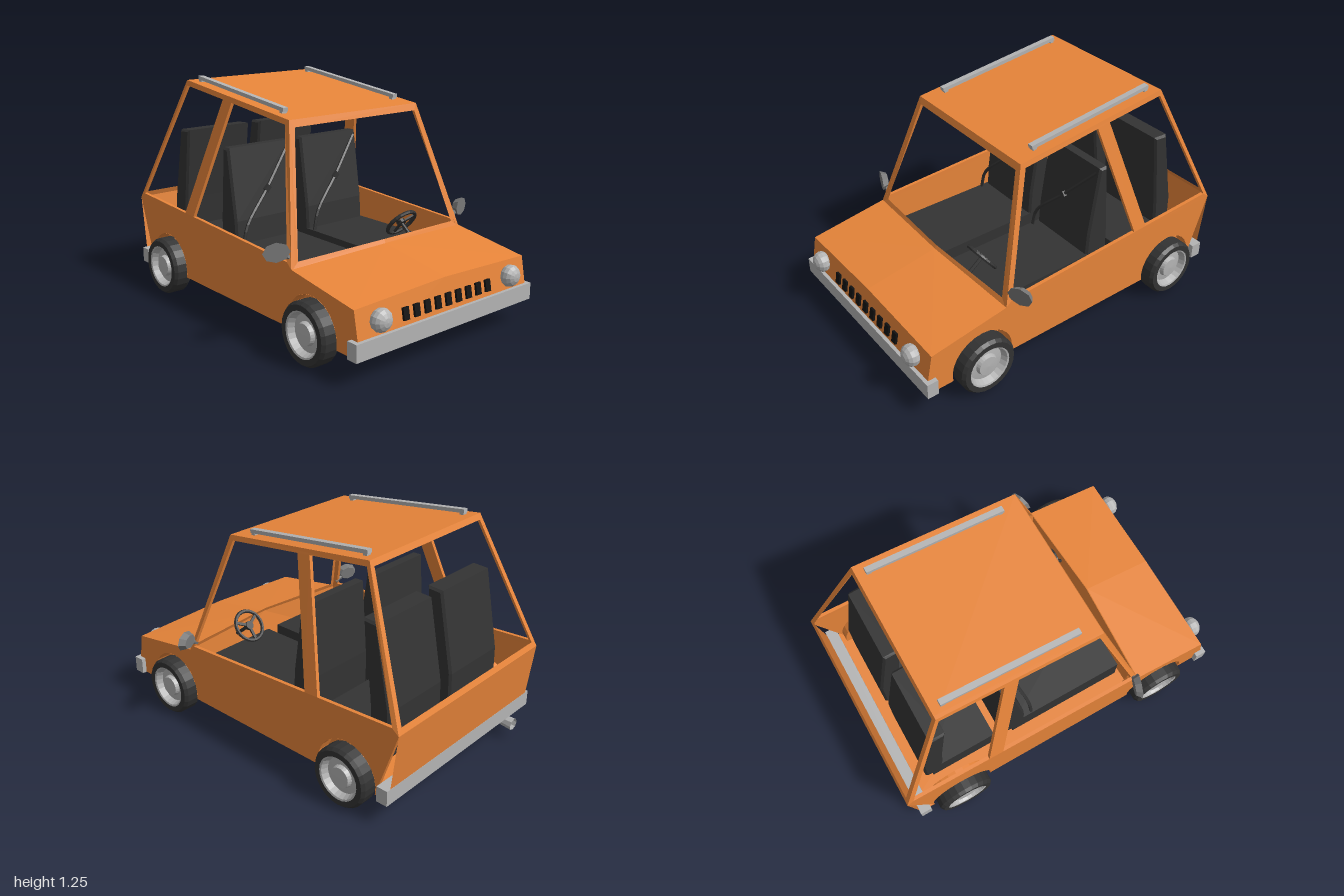
import * as THREE from 'three';

const mat = (color) => new THREE.MeshStandardMaterial({ color, flatShading: true, side: THREE.DoubleSide });
const ORANGE = mat(0xe8853a), DARK = mat(0x333333), BLACK = mat(0x111111), GREY = mat(0xb4b4b4), MIRROR = mat(0x777777);
const WHEEL_X = [-0.69, 0.61], WHEEL_Y = 0.163, ARCH = 0.185, ARCH_A = Math.asin(0.033 / ARCH);

export function createModel() {
  const car = new THREE.Group();
  car.name = 'car';
  const add = (name, geo, material, x = 0, y = 0, z = 0) => {
    const m = new THREE.Mesh(geo, material);
    m.name = name;
    m.position.set(x, y, z);
    car.add(m);
    return m;
  };
  const box = (name, material, x0, x1, y0, y1, z0, z1) =>
    add(name, new THREE.BoxGeometry(x1 - x0, y1 - y0, z1 - z0), material, (x0 + x1) / 2, (y0 + y1) / 2, (z0 + z1) / 2);
  // Flat panel from a fan of corners
  const sheet = (name, pts) => {
    const pos = [];
    for (let i = 1; i < pts.length - 1; i++) pos.push(...pts[0], ...pts[i], ...pts[i + 1]);
    return fromTriangles(name, pos);
  };
  // Window frame between matching outer and inner outlines
  const frame = (name, outer, inner) => {
    const pos = [];
    outer.forEach((a, i) => {
      const j = (i + 1) % outer.length;
      pos.push(...a, ...outer[j], ...inner[j], ...a, ...inner[j], ...inner[i]);
    });
    return fromTriangles(name, pos);
  };
  const fromTriangles = (name, pos) => {
    const g = new THREE.BufferGeometry();
    g.setAttribute('position', new THREE.Float32BufferAttribute(pos, 3));
    g.computeVertexNormals();
    return add(name, g, ORANGE);
  };
  // Round bar between two points
  const rod = (name, material, a, b, r0, r1 = r0, sides = 8, open = false) => {
    const p = new THREE.Vector3(...a), q = new THREE.Vector3(...b), d = q.clone().sub(p);
    const m = add(name, new THREE.CylinderGeometry(r1, r0, d.length(), sides, 1, open), material);
    m.position.copy(p).add(q).multiplyScalar(0.5);
    m.quaternion.setFromUnitVectors(new THREE.Vector3(0, 1, 0), d.normalize());
    return m;
  };
  const poly = (pts) => pts.map(([x, y]) => new THREE.Vector2(x, y));

  // Side panels: wheel arches and window holes, leaning inward above the belt line
  const side = new THREE.Shape();
  side.moveTo(-0.955, 0.13);
  for (const x of WHEEL_X) side.absarc(x, WHEEL_Y, ARCH, Math.PI + ARCH_A, -ARCH_A, true);
  [[0.955, 0.13], [0.91, 0.365], [0.46, 0.435], [0.255, 1.12], [-0.68, 1.23], [-1, 0.51]].forEach((p) => side.lineTo(...p));
  side.closePath();
  side.holes.push(new THREE.Path(poly([[-0.96, 0.54], [-0.67, 1.2], [-0.315, 1.16], [-0.5, 0.515]])));
  side.holes.push(new THREE.Path(poly([[-0.415, 0.51], [-0.235, 1.15], [0.23, 1.095], [0.425, 0.465]])));
  const sideGeo = new THREE.ExtrudeGeometry(side, { depth: 0.02, bevelEnabled: false, curveSegments: 14 });
  const p = sideGeo.attributes.position;
  for (let i = 0; i < p.count; i++) {
    const x = p.getX(i), belt = 0.487 - 0.053 * x, roof = 1.15 - 0.118 * x;
    const k = THREE.MathUtils.clamp((p.getY(i) - belt) / (roof - belt), 0, 1);
    p.setZ(i, p.getZ(i) + 0.58 - 0.155 * k);
  }
  sideGeo.computeVertexNormals();
  for (const s of [1, -1]) add('sidePanel', sideGeo, ORANGE).scale.z = s;

  // Closing panels
  sheet('roof', [[-0.68, 1.23, 0.445], [0.255, 1.12, 0.445], [0.255, 1.12, -0.445], [-0.68, 1.23, -0.445]]);
  sheet('roofLining', [[-0.67, 1.21, 0.44], [0.25, 1.1, 0.44], [0.25, 1.1, -0.44], [-0.67, 1.21, -0.44]]);
  sheet('rearPanel', [[-1, 0.51, 0.6], [-1, 0.51, -0.6], [-0.955, 0.13, -0.6], [-0.955, 0.13, 0.6]]);
  sheet('frontPanel', [[0.91, 0.385, 0], [0.91, 0.365, 0.6], [0.955, 0.13, 0.6], [0.955, 0.13, -0.6], [0.91, 0.365, -0.6]]);
  sheet('firewall', [[0.49, 0.455, 0], [0.46, 0.435, 0.59], [0.46, 0.13, 0.59], [0.46, 0.13, -0.59], [0.46, 0.435, -0.59]]);
  for (const s of [1, -1])
    sheet('hood', [[0.49, 0.455, 0], [0.46, 0.435, 0.6 * s], [0.91, 0.365, 0.6 * s], [0.91, 0.385, 0]]);
  frame('windshieldFrame',
    [[0.46, 0.435, 0.59], [0.49, 0.455, 0], [0.46, 0.435, -0.59], [0.255, 1.12, -0.445], [0.255, 1.12, 0.445]],
    [[0.45, 0.463, 0.55], [0.48, 0.475, 0], [0.45, 0.463, -0.55], [0.268, 1.083, -0.42], [0.268, 1.083, 0.42]]);
  frame('rearWindowFrame',
    [[-1, 0.51, 0.6], [-1, 0.51, -0.6], [-0.68, 1.23, -0.445], [-0.68, 1.23, 0.445]],
    [[-0.987, 0.54, 0.565], [-0.987, 0.54, -0.565], [-0.693, 1.2, -0.425], [-0.693, 1.2, 0.425]]);

  // Floor, notched around the wheels
  box('floor', ORANGE, -0.955, 0.955, 0.13, 0.145, -0.53, 0.53);
  for (const [a, b] of [[-0.955, -0.872], [-0.508, 0.428], [0.792, 0.955]])
    for (const s of [1, -1]) box('sill', ORANGE, a, b, 0.13, 0.145, 0.565 * s - 0.035, 0.565 * s + 0.035);

  // Wheels and wheel wells
  const tyre = new THREE.LatheGeometry(poly([[0.12, -0.055], [0.15, -0.055], [0.163, -0.037], [0.163, 0.037], [0.15, 0.055], [0.12, 0.055]]), 24).rotateX(Math.PI / 2);
  const rim = new THREE.LatheGeometry(poly([[0, -0.045], [0.122, -0.045], [0.122, 0.053], [0.112, 0.05], [0.098, 0.015], [0.062, 0.02], [0.055, 0.042], [0, 0.045]]), 24).rotateX(Math.PI / 2);
  const well = new THREE.CylinderGeometry(ARCH, ARCH, 0.07, 14, 1, true, Math.PI / 2 - ARCH_A, Math.PI + 2 * ARCH_A).rotateX(Math.PI / 2);
  const wellCap = new THREE.CircleGeometry(ARCH, 14, -ARCH_A, Math.PI + 2 * ARCH_A);
  for (const x of WHEEL_X) for (const s of [1, -1]) {
    add('tyre', tyre, DARK, x, WHEEL_Y, 0.608 * s).scale.z = s;
    add('rim', rim, GREY, x, WHEEL_Y, 0.608 * s).scale.z = s;
    add('wheelWell', well, ORANGE, x, WHEEL_Y, 0.565 * s);
    add('wheelWellCap', wellCap, ORANGE, x, WHEEL_Y, 0.53 * s);
  }

  // Bumpers, grille, headlights and exhaust
  box('frontBumper', GREY, 0.895, 0.958, 0.13, 0.22, -0.625, 0.625);
  box('rearBumper', GREY, -0.965, -0.9, 0.12, 0.205, -0.625, 0.625);
  for (let i = -4; i <= 4; i++) {
    const slot = box('grilleSlot', BLACK, 0.916, 0.942, 0.245, 0.308, i * 0.0735 - 0.018, i * 0.0735 + 0.018);
    slot.rotation.z = 0.19;
  }
  for (const s of [1, -1])
    add('headlight', new THREE.SphereGeometry(0.06, 12, 8).rotateZ(Math.PI / 2), GREY, 0.945, 0.293, 0.463 * s).scale.x = 0.8;
  rod('exhaustPipe', GREY, [-0.68, 0.105, 0.44], [-0.9, 0.09, 0.44], 0.022);
  rod('exhaustTip', GREY, [-0.82, 0.095, 0.44], [-0.998, 0.085, 0.44], 0.024, 0.034, 8, true);

  // Roof rails on short feet
  for (const s of [1, -1]) {
    const rail = add('roofRail', new THREE.BoxGeometry(0.785, 0.02, 0.032), GREY, -0.24, 1.199, 0.385 * s);
    rail.rotation.z = -0.117;
    for (const x of [-0.615, 0.13])
      box('railFoot', GREY, x - 0.012, x + 0.012, 1.145 - 0.118 * x, 1.168 - 0.118 * x, 0.385 * s - 0.015, 0.385 * s + 0.015);
  }

  // Wing mirrors
  for (const s of [1, -1]) {
    const m = add('wingMirror', new THREE.CylinderGeometry(0.062, 0.045, 0.035, 8).rotateZ(-Math.PI / 2), MIRROR, 0.408, 0.525, 0.655 * s);
    m.scale.y = 0.82;
    m.scale.z = 1.15;
    m.rotation.y = -0.35 * s;
    rod('mirrorArm', MIRROR, [0.43, 0.48, 0.575 * s], [0.415, 0.515, 0.63 * s], 0.012, 0.012, 6);
  }

  // Seats: sloping backs and long cushions
  const back = (pts) => new THREE.ExtrudeGeometry(new THREE.Shape(poly(pts)),
    { depth: 0.4, bevelThickness: 0.012, bevelSize: 0.012, bevelOffset: -0.012, bevelSegments: 1 }).translate(0, 0, -0.2);
  const rearBack = back([[-0.84, 0.25], [-0.835, 0.5], [-0.75, 0.94], [-0.66, 0.945], [-0.71, 0.53], [-0.73, 0.25]]);
  const frontBack = back([[-0.35, 0.25], [-0.345, 0.5], [-0.315, 0.9], [-0.265, 0.9], [-0.205, 0.5], [-0.19, 0.25]]);
  for (const s of [1, -1]) {
    const z = 0.25 * s;
    add('rearSeatBack', rearBack, DARK, 0, 0, z);
    add('frontSeatBack', frontBack, DARK, 0, 0, z);
    box('rearSeatCushion', DARK, -0.8, -0.4, 0.2, 0.36, z - 0.212, z + 0.212);
    box('frontSeatCushion', DARK, -0.28, 0.42, 0.2, 0.37, z - 0.212, z + 0.212);
    // Diagonal belt with buckle
    const belt = new THREE.CatmullRomCurve3([[-0.26, 0.87, z - 0.19], [-0.2, 0.66, z + 0.0], [-0.155, 0.48, z + 0.17], [-0.15, 0.37, z + 0.2]]
      .map((v) => new THREE.Vector3(...v)));
    add('seatBelt', new THREE.TubeGeometry(belt, 16, 0.01, 5), DARK);
    add('beltBuckle', new THREE.BoxGeometry(0.02, 0.03, 0.035), DARK, -0.197, 0.66, z).rotation.x = 0.8;
  }

  // Steering wheel: ring, hub and three spokes on a column
  const wheel = new THREE.Group();
  wheel.name = 'steeringWheel';
  const part = (name, geo) => {
    const m = new THREE.Mesh(geo, DARK);
    m.name = name;
    wheel.add(m);
    return m;
  };
  part('ring', new THREE.TorusGeometry(0.088, 0.011, 6, 20));
  part('hub', new THREE.CylinderGeometry(0.025, 0.025, 0.02, 10).rotateX(Math.PI / 2));
  for (let i = 0; i < 3; i++)
    part('spoke', new THREE.BoxGeometry(0.016, 0.085, 0.01).translate(0, 0.043, 0)).rotation.z = Math.PI + i * Math.PI * 2 / 3;
  const holder = new THREE.Group();
  holder.name = 'steering';
  wheel.rotation.y = Math.PI / 2;
  holder.add(wheel);
  holder.position.set(0.355, 0.49, -0.25);
  holder.rotation.z = -0.67;
  car.add(holder);
  rod('steeringColumn', DARK, [0.355, 0.49, -0.25], [0.46, 0.407, -0.25], 0.01);

  return car;
}
